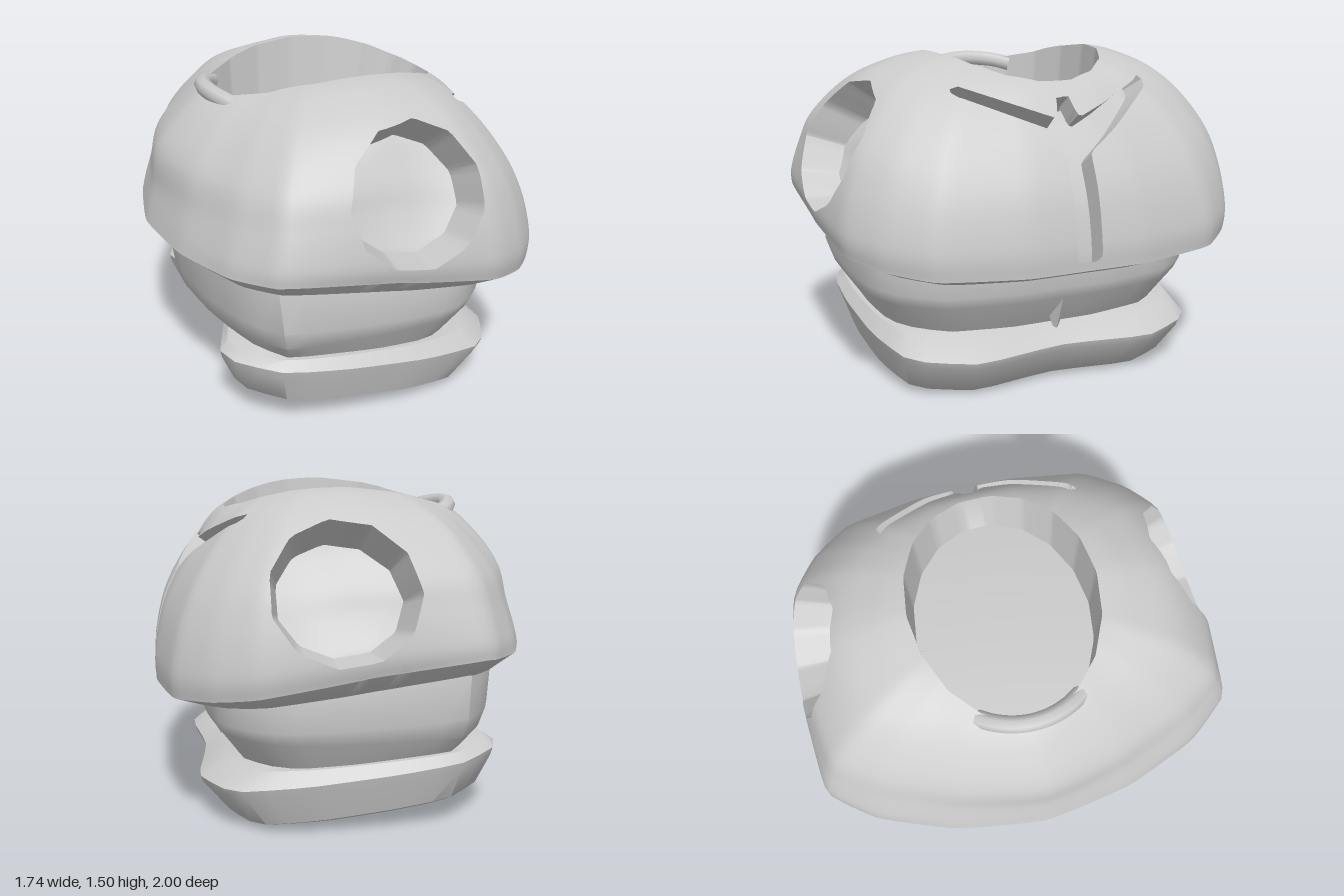
import * as THREE from 'three';
import { toCreasedNormals } from 'three/addons/utils/BufferGeometryUtils.js';

const material = new THREE.MeshStandardMaterial({ color: 0xcccccc, side: THREE.DoubleSide });
const { lerp } = THREE.MathUtils;

// Closed plan curve from half an outline (x, z), starting at +x
function planPoints(half, tension, count) {
  const all = [...half, ...half.slice(1, -1).reverse().map(([x, z]) => [x, -z])];
  const curve = new THREE.CatmullRomCurve3(
    all.map(([x, z]) => new THREE.Vector3(x, 0, z)), true, 'catmullrom', tension);
  return curve.getSpacedPoints(count).slice(0, -1);
}
const domePlan = [[0.87, 0], [0.87, 0.28], [0.8, 0.66], [0.65, 0.85], [0.47, 0.96], [0.1, 1],
  [-0.3, 0.99], [-0.52, 0.97], [-0.68, 0.77], [-0.81, 0.42], [-0.87, 0]];
const jawPlan = [[0.81, 0], [0.83, 0.2], [0.87, 0.54], [0.7, 0.88], [0.3, 0.98], [-0.2, 1],
  [-0.58, 0.97], [-0.82, 0.8], [-0.87, 0.66], [-0.74, 0.28], [-0.66, 0]];

// Piecewise linear lookup in a list of [input, output]
function lookup(table, v) {
  for (let i = 1; i < table.length; i++) {
    const [a, fa] = table[i - 1], [b, fb] = table[i];
    if (v <= b) return lerp(fa, fb, Math.max(0, (v - a) / (b - a)));
  }
  return table[table.length - 1][1];
}

// Triangles skinning a stack of equal rings, listed from bottom to top
function skin(rings) {
  const n = rings[0].length, tris = [];
  for (let j = 0; j < rings.length - 1; j++) {
    for (let i = 0; i < n; i++) {
      const k = (i + 1) % n, lo = rings[j], hi = rings[j + 1];
      tris.push([lo[i], hi[i], lo[k]], [lo[k], hi[i], hi[k]]);
    }
  }
  return tris;
}

const toGeometry = (tris, crease) =>
  toCreasedNormals(new THREE.BufferGeometry().setFromPoints(tris.flat()), crease);

// Signed distance to a convex counter-clockwise polygon
const polygon = pts => (u, v) => Math.max(...pts.map(([a, b], i) => {
  const [c, d] = pts[(i + 1) % pts.length];
  return ((u - a) * (d - b) - (v - b) * (c - a)) / Math.hypot(c - a, d - b);
}));

const oval = (cu, cv, ru, rv, n) => polygon(Array.from({ length: n }, (_, i) => {
  const a = (i + 0.5) / n * Math.PI * 2;
  return [cu + ru * Math.cos(a), cv + rv * Math.sin(a)];
}));

// Split triangles where dist = 0, move the inner part and wall up the gap
function sink(tris, dist, move) {
  const out = [];
  const cross = (a, b) => {
    const da = dist(a), db = dist(b);
    return a.clone().lerp(b, da / (da - db));
  };
  const keep = (inside, ...t) => out.push(inside ? t.map(move) : t);
  for (const tri of tris) {
    const ins = tri.map(p => dist(p) < 0), count = ins.filter(Boolean).length;
    if (count % 3 === 0) {
      keep(ins[0], ...tri);
      continue;
    }
    const k = ins.indexOf(count === 1);
    const a = tri[k], b = tri[(k + 1) % 3], c = tri[(k + 2) % 3];
    const p = cross(a, b), q = cross(a, c);
    keep(ins[k], a, p, q);
    keep(!ins[k], p, b, c);
    keep(!ins[k], p, c, q);
    const [s, e] = ins[k] ? [q, p] : [p, q];
    out.push([s, e, move(e)], [s, move(e), move(s)]);
  }
  return out;
}

function domeGeometry() {
  const plan = planPoints(domePlan, 0.2, 140);
  const profile = pts => new THREE.SplineCurve(pts.map(([s, h]) => new THREE.Vector2(s, h)));
  const front = profile([[1, 0], [1, 0.14], [0.95, 0.37], [0.86, 0.56],
    [0.75, 0.72], [0.6, 0.88], [0.3, 0.98], [0, 1]]);
  const back = profile([[1, 0], [0.98, 0.1], [0.95, 0.25], [0.92, 0.48],
    [0.8, 0.68], [0.62, 0.86], [0.35, 0.97], [0, 1]]);
  const flank = profile([[0.985, 0], [1, 0.12], [0.975, 0.35], [0.92, 0.57],
    [0.77, 0.82], [0.6, 0.94], [0.4, 1], [0, 1]]);
  const rim = [[-0.87, 0.78], [-0.5, 0.82], [0, 0.77], [0.4, 0.7], [0.87, 0.62]];
  // Underside of the brim
  const rings = [[0.7, 0.11], [0.88, 0.09]].map(([s, drop]) => plan.map(q =>
    new THREE.Vector3(q.x * s, lookup(rim, q.x) - drop * (1 - 0.6 * Math.max(q.x, 0)), q.z * s)));
  // Outer surface from the brim to the crown, slimmer at the corners and lower at the back
  const rows = 48;
  for (let j = 0; j <= rows; j++) {
    const f = front.getPoint(j / rows), b = back.getPoint(j / rows), k = flank.getPoint(j / rows);
    rings.push(plan.map(q => {
      const w = q.z * q.z / (q.x * q.x + q.z * q.z), e = q.x > 0 ? f : b;
      const h = lerp(e.y, k.y, w);
      const slim = q.x > 0 ? 0.4 * h * h : 0.45 * h;
      const s = lerp(e.x, k.x, w) * (1 - slim * w * (1 - w));
      const y0 = lookup(rim, q.x), top = 1.5 - 0.1 * w * Math.max(0, -q.x * s);
      return new THREE.Vector3(q.x * s, y0 + (top - y0) * h, q.z * s);
    }));
  }
  let tris = skin(rings);

  // Branching groove on the front
  const slot = polygon([[-0.06, 0.66], [0.06, 0.66], [0.06, 1.2], [0.03, 1.33], [-0.03, 1.33], [-0.06, 1.2]]);
  const arm = polygon([[-0.05, 1.04], [0.48, 1.36], [0.46, 1.39], [-0.05, 1.21]]);
  tris = sink(tris,
    p => p.x > 0.3 ? Math.min(slot(p.z, p.y), arm(Math.abs(p.z), p.y)) : 1,
    p => new THREE.Vector3(p.x - 0.08, p.y - 0.06, p.z * 0.9));

  // Eye sockets, tapering to a smaller hollow floor
  const eye = oval(0.1, 1.1, 0.315, 0.29, 11);
  tris = sink(tris, p => eye(p.x, p.y), p => {
    const r = Math.hypot((p.x - 0.1) / 0.315, (p.y - 1.1) / 0.29);
    const depth = 0.17 + 0.07 * (1 - r * r);
    return new THREE.Vector3(0.1 + (p.x - 0.1) * 0.86, 1.04 + (p.y - 1.1) * 0.77,
      p.z - Math.sign(p.z) * depth);
  });

  // Crown bowl with a gently domed floor
  const bowl = oval(-0.005, 0, 0.54, 0.42, 18);
  tris = sink(tris, p => p.y > 1.1 ? bowl(p.x, p.z) : 1, p => new THREE.Vector3(
    -0.02 + p.x * 0.94, 1.23 - 0.08 * (p.x * p.x + p.z * p.z), p.z * 0.96));
  return toGeometry(tris, 0.6);
}

// Stacked body: rows of [xBack, xFront, halfWidth, yBack, yFront]
function bodyGeometry(half, rows) {
  const plan = planPoints(half, 0.2, 48);
  return toGeometry(skin(rows.map(([xb, xf, w, yb, yf]) => plan.map(q => {
    const t = (q.x / 0.87 + 1) / 2;
    return new THREE.Vector3(lerp(xb, xf, t), lerp(yb, yf, t), q.z * w);
  }))), 0.7);
}

export function createModel() {
  const group = new THREE.Group();
  group.name = 'helmet';
  const add = (name, geo) => {
    const mesh = new THREE.Mesh(geo, material);
    mesh.name = name;
    group.add(mesh);
    return mesh;
  };
  add('dome', domeGeometry());

  // Upper jaw, overhanging a narrower throat
  add('upperJaw', bodyGeometry(domePlan, [
    [-0.05, -0.05, 0, 0.27, 0.27],
    [-0.58, 0.5, 0.7, 0.28, 0.22],
    [-0.66, 0.54, 0.74, 0.37, 0.29],
    [-0.71, 0.64, 0.81, 0.43, 0.43],
    [-0.74, 0.66, 0.84, 0.53, 0.48],
    [-0.76, 0.66, 0.82, 0.74, 0.62],
    [-0.05, -0.05, 0, 0.74, 0.74],
  ]));

  // Lower jaw, tilted down toward the face and notched at the back
  add('lowerJaw', bodyGeometry(jawPlan, [
    [0, 0, 0, 0.09, 0.09],
    [-0.57, 0.5, 0.69, 0.12, 0],
    [-0.6, 0.56, 0.74, 0.15, 0.02],
    [-0.66, 0.68, 0.79, 0.29, 0.17],
    [-0.67, 0.69, 0.8, 0.33, 0.2],
    [-0.63, 0.58, 0.76, 0.36, 0.28],
    [0, 0, 0, 0.33, 0.33],
  ]));

  // Small pointed lip in the middle of the mouth
  const lip = add('lip', toCreasedNormals(new THREE.ConeGeometry(0.08, 0.21, 4), 0.3));
  lip.rotation.x = Math.PI;
  lip.position.set(0.56, 0.335, 0);

  // Low crescent along the back of the crown bowl, sinking in at its ends
  const arc = [];
  for (let i = -4; i <= 4; i++) {
    const a = i * 0.14;
    arc.push(new THREE.Vector3(-0.02 - 0.54 * Math.cos(a), 1.395 - 0.002 * i * i, 0.43 * Math.sin(a)));
  }
  add('crownLip', new THREE.TubeGeometry(new THREE.CatmullRomCurve3(arc), 24, 0.04, 8));
  return group;
}
